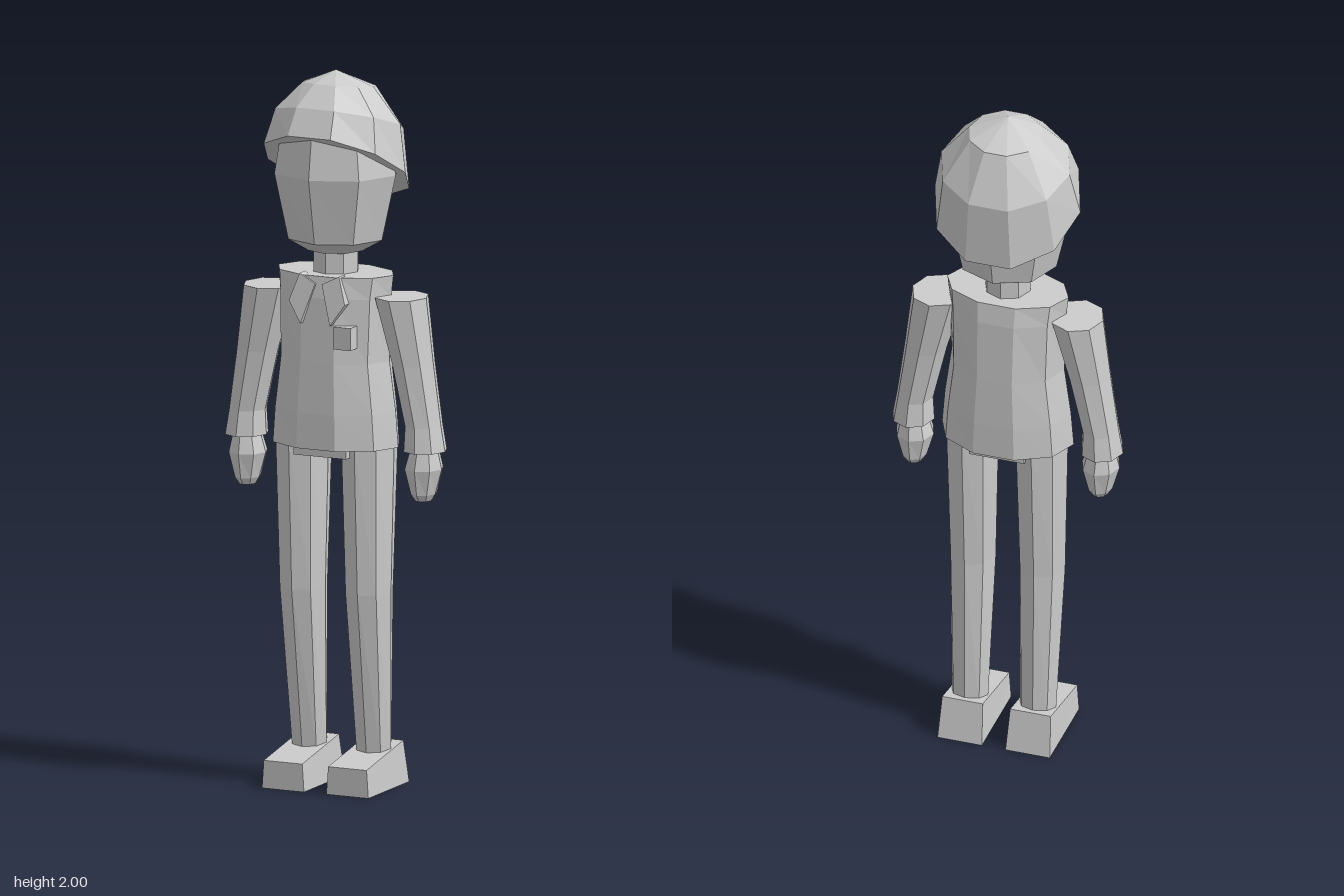
import * as THREE from 'three';

const grey = new THREE.MeshStandardMaterial({ color: 0xcccccc });
grey.name = 'plain grey';

// Faceted body through elliptical rings, listed bottom to top:
// [y, centre x, centre z, radius x, radius z, forward tilt]
function loft(rings, sides, topPoint) {
  const points = rings.map(([y, cx, cz, rx, rz, tilt = 0]) =>
    Array.from({ length: sides }, (_, j) => {
      const a = (j / sides) * Math.PI * 2;
      return [cx + rx * Math.cos(a), y + tilt * Math.sin(a), cz + rz * Math.sin(a)];
    }));
  const last = rings.length - 1;
  const centre = ([y, cx, cz]) => [cx, y, cz];
  const bottom = centre(rings[0]);
  const top = topPoint || centre(rings[last]);
  const v = [];
  for (let j = 0; j < sides; j++) {
    const k = (j + 1) % sides;
    for (let i = 0; i < last; i++) {
      const a = points[i][j], b = points[i][k], c = points[i + 1][k], d = points[i + 1][j];
      v.push(...a, ...d, ...c, ...a, ...c, ...b);
    }
    v.push(...bottom, ...points[0][j], ...points[0][k]);
    v.push(...top, ...points[last][k], ...points[last][j]);
  }
  const g = new THREE.BufferGeometry();
  g.setAttribute('position', new THREE.Float32BufferAttribute(v, 3));
  g.computeVertexNormals();
  return g;
}

// Move every vertex by a rule
function bend(g, rule) {
  const p = g.attributes.position;
  const v = new THREE.Vector3();
  for (let i = 0; i < p.count; i++) {
    v.fromBufferAttribute(p, i);
    rule(v);
    p.setXYZ(i, v.x, v.y, v.z);
  }
  g.computeVertexNormals();
  return g;
}

function prism(corners, depth) {
  const shape = new THREE.Shape(corners.map(([x, y]) => new THREE.Vector2(x, y)));
  return new THREE.ExtrudeGeometry(shape, { depth, bevelEnabled: false });
}

export function createModel() {
  const model = new THREE.Group();
  model.name = 'standingFigure';
  const add = (name, geometry) => {
    const mesh = new THREE.Mesh(geometry, grey);
    mesh.name = name;
    model.add(mesh);
    return mesh;
  };

  // Head, cap of hair and neck
  add('head', loft([
    [1.5, 0, 0, 0.08, 0.08],
    [1.535, 0, 0, 0.14, 0.135],
    [1.72, 0, 0, 0.182, 0.171],
    [1.85, 0, 0, 0.16, 0.152],
  ], 8));
  add('hair', loft([
    [1.73, 0, -0.003, 0.21, 0.181, 0.115],
    [1.86, 0, -0.022, 0.185, 0.16, 0.055],
    [1.957, 0, -0.02, 0.105, 0.095, 0.013],
  ], 10, [0, 2, 0]));
  add('neck', loft([[1.4, 0, 0, 0.065, 0.065], [1.53, 0, 0, 0.065, 0.065]], 8));

  // Jacket and the small block below it
  add('jacket', loft([
    [0.96, 0, 0, 0.19, 0.135],
    [1.06, 0, 0, 0.182, 0.133],
    [1.2, 0, 0, 0.163, 0.126],
    [1.38, 0, 0, 0.168, 0.115],
    [1.44, 0, 0, 0.175, 0.105],
  ], 10));
  const hips = add('hips', new THREE.BoxGeometry(0.16, 0.08, 0.2));
  hips.position.y = 0.975;

  // Square badge on the left breast
  const badge = add('badge', new THREE.BoxGeometry(0.052, 0.063, 0.04));
  badge.position.set(0.08, 1.277, 0.107);

  for (const s of [1, -1]) {
    const side = s > 0 ? 'left' : 'right';
    const limb = (rings) => loft(rings.map(([y, x, ...rest]) => [y, s * x, ...rest]), 8);

    // Collar tab, sloping outwards towards its lower point
    const tab = [[0.01, 1.42], [0.045, 1.31], [0.085, 1.37], [0.06, 1.445]];
    add(side + 'Collar', bend(prism(tab.map(([x, y]) => [s * x, y]), 0.035), (v) => {
      v.z += 0.07 + (1.445 - v.y) * 0.2;
    }));

    // Sleeve with flared cuff, and mitten hand
    add(side + 'Sleeve', limb([
      [0.96, 0.272, 0, 0.06, 0.068],
      [1.03, 0.268, 0, 0.052, 0.06],
      [1.2, 0.237, 0, 0.06, 0.066],
      [1.385, 0.2, 0, 0.075, 0.082],
    ]));
    add(side + 'Hand', limb([
      [0.82, 0.268, 0, 0.022, 0.03],
      [0.84, 0.268, 0, 0.034, 0.046],
      [0.91, 0.268, 0, 0.054, 0.06],
      [0.97, 0.27, 0, 0.038, 0.045],
    ]));

    // Trouser leg, slightly bent at the knee
    add(side + 'Leg', limb([
      [0.1, 0.098, -0.035, 0.052, 0.047],
      [0.55, 0.1, -0.003, 0.066, 0.075],
      [0.98, 0.1, -0.005, 0.075, 0.097],
    ]));

    // Wedge shoe, higher at the heel
    add(side + 'Shoe', bend(new THREE.BoxGeometry(1, 1, 1), (v) => {
      const up = v.y > 0, front = v.z > 0;
      v.x = s * 0.098 + v.x * (up ? 0.117 : 0.128);
      v.y = up ? (front ? 0.078 : 0.12) : 0;
      v.z = front ? 0.13 : (up ? -0.1 : -0.125);
    }));
  }
  return model;
}
